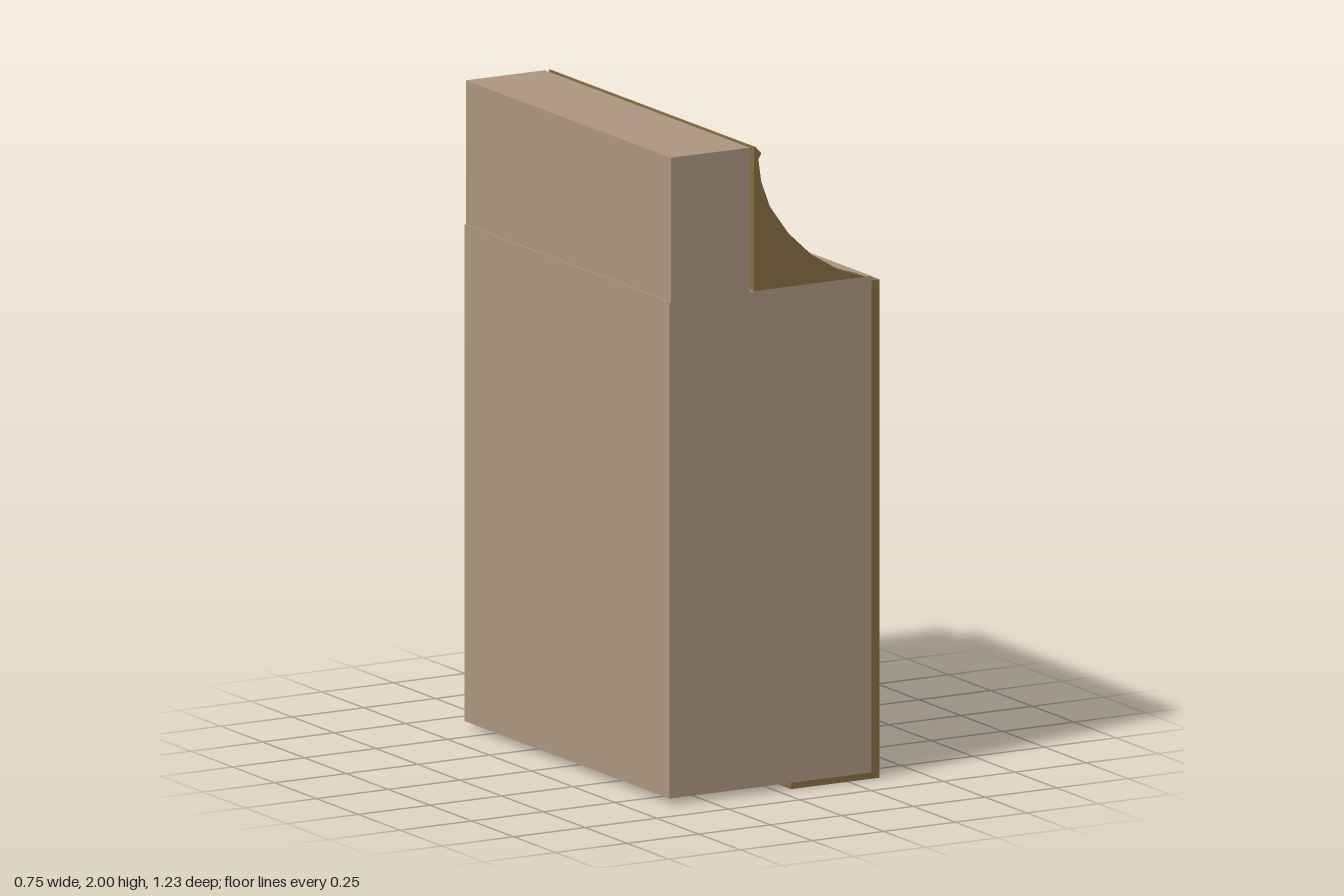
import * as THREE from 'three';

export function createModel() {
  const root = new THREE.Group();
  const paint = (color, side = THREE.FrontSide) =>
    new THREE.MeshStandardMaterial({ color, side });
  const oak = paint(0xae9780);
  const trim = paint(0x886e42);
  const grey = paint(0xcccccc);

  const add = (name, geometry, material) => {
    const mesh = new THREE.Mesh(geometry, material);
    mesh.name = name;
    root.add(mesh);
    return mesh;
  };
  // Box given by its limits on each axis
  const box = (name, material, x0, x1, y0, y1, z0, z1) => {
    const g = new THREE.BoxGeometry(x1 - x0, y1 - y0, z1 - z0);
    g.translate((x0 + x1) / 2, (y0 + y1) / 2, (z0 + z1) / 2);
    return add(name, g, material);
  };
  const outline = (points) =>
    new THREE.Shape(points.map(([x, y]) => new THREE.Vector2(x, y)));
  // Profile in x and y, swept along z
  const sweep = (name, points, z0, z1) => {
    const g = new THREE.ExtrudeGeometry(outline(points), { depth: z1 - z0, bevelEnabled: false });
    g.translate(0, 0, z0);
    return add(name, g, trim);
  };

  // Carcass and upper cupboard
  box('cabinetBody', oak, -0.375, 0.33, 0.02, 1.555, -0.613, 0.613);
  box('upperCupboard', oak, -0.37, -0.095, 1.555, 2, -0.613, 0.613);
  box('base', trim, 0.05, 0.33, 0, 0.02, -0.605, 0.61);

  // Upper glass panes with the post between them
  box('leftPane', grey, -0.095, -0.086, 1.555, 1.91, -0.59, -0.045);
  box('rightPane', grey, -0.095, -0.086, 1.555, 1.91, 0.025, 0.59);
  box('centrePost', oak, -0.095, -0.08, 1.555, 1.91, -0.045, 0.025);

  // Moulded valance across the top
  sweep('valance', [
    [-0.08, 1.91], [-0.06, 1.91], [-0.065, 1.96], [-0.055, 1.978], [-0.075, 2], [-0.08, 2],
  ], -0.613, 0.613);

  // Curved side brackets
  const wing = [
    [-0.08, 1.555], [0.31, 1.555], [0.22, 1.585], [0.12, 1.645], [0.04, 1.72],
    [-0.025, 1.81], [-0.055, 1.89], [-0.065, 1.96], [-0.08, 1.96],
  ];
  sweep('leftBracket', wing, -0.613, -0.548);
  sweep('rightBracket', wing, 0.548, 0.613);

  // Face frame, drawn with u = -z; a thin notch splits the stile beside the drawers
  const face = outline([
    [-0.61, 0], [0.605, 0], [0.605, 0.605], [0.56, 0.605], [0.56, 0.618],
    [0.605, 0.618], [0.605, 1.54], [-0.61, 1.54],
  ]);
  const openings = [
    [-0.565, -0.038, 0.37, 1.48], [-0.565, -0.038, 0.08, 0.325],
    [0.005, 0.558, 1.025, 1.52], [0.005, 0.558, 0.04, 0.58],
  ];
  for (const [y0, y1] of [[0.865, 0.99], [0.725, 0.855], [0.607, 0.715]]) {
    for (const [u0, u1] of [[0.005, 0.268], [0.282, 0.558]]) openings.push([u0, u1, y0, y1]);
  }
  for (const [u0, u1, y0, y1] of openings) {
    face.holes.push(outline([[u0, y0], [u0, y1], [u1, y1], [u1, y0]]));
  }
  const frame = new THREE.ExtrudeGeometry(face, { depth: 0.03, bevelEnabled: false });
  frame.rotateY(Math.PI / 2).translate(0.33, 0, 0);
  add('faceFrame', frame, trim);

  // Round knobs on doors and drawers
  const ball = new THREE.SphereGeometry(0.031, 24, 16);
  const knobs = [
    [0.12, 0.865], [0.102, 0.2], [-0.083, 1.265], [-0.083, 0.355],
    [-0.13, 0.925], [-0.13, 0.803], [-0.13, 0.65],
    [-0.405, 0.925], [-0.405, 0.788], [-0.405, 0.665],
  ];
  for (const [z, y] of knobs) add('knob', ball, grey).position.set(0.344, y, z);

  return root;
}
